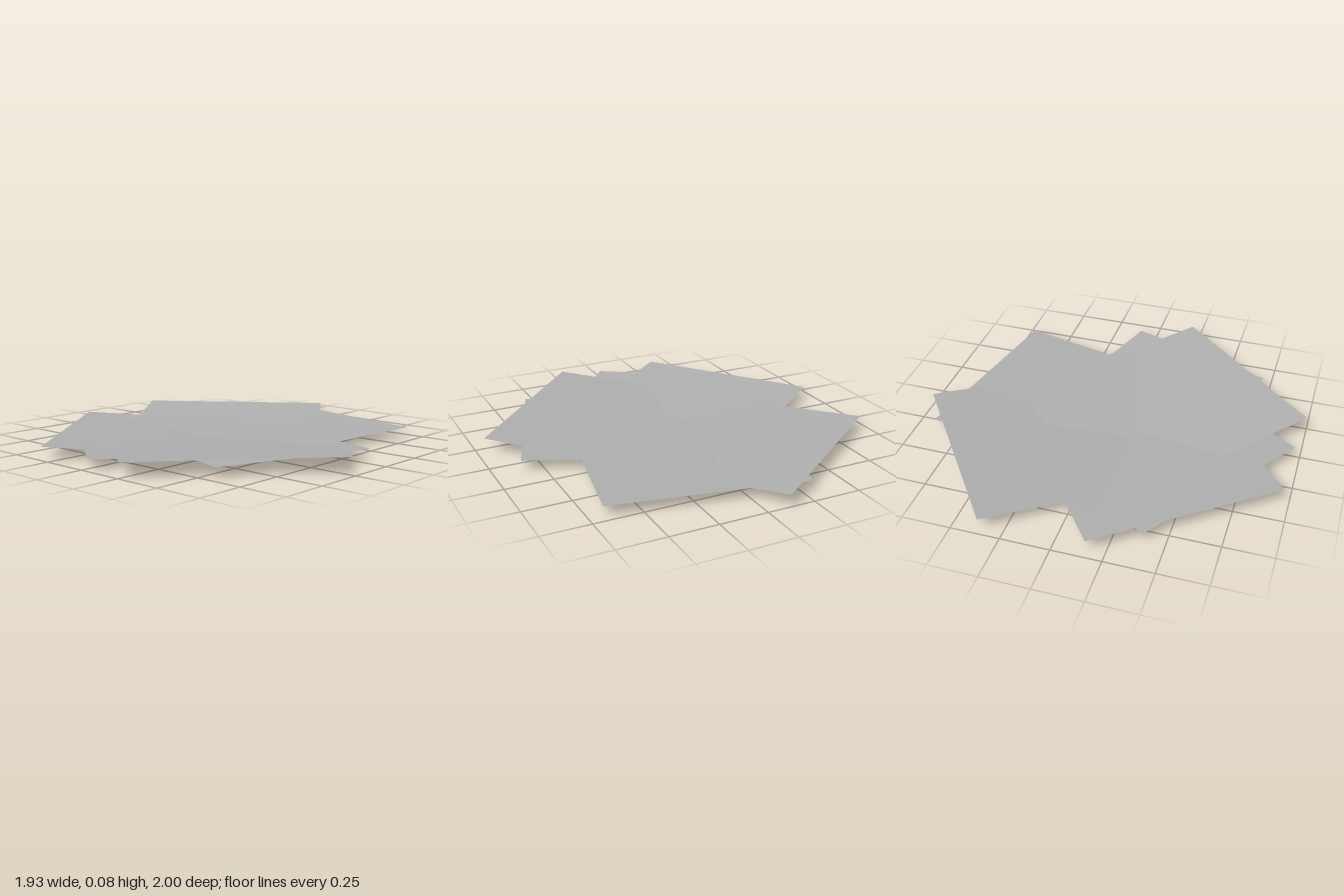
import * as THREE from 'three';

const grey = new THREE.MeshStandardMaterial({ color: 0xb2b2b2, side: THREE.DoubleSide });
grey.name = 'grey';

// Flat sheet: raised outer edge from a to b ([x, z]), sloping down toward the middle of the pile.
function sheet(name, a, b, depth, yOuter, yInner) {
  const A = new THREE.Vector2(...a), B = new THREE.Vector2(...b);
  const inward = B.clone().sub(A).normalize().rotateAround(new THREE.Vector2(), Math.PI / 2);
  if (inward.dot(A.clone().add(B)) > 0) inward.negate();
  inward.multiplyScalar(depth);
  const C = B.clone().add(inward), D = A.clone().add(inward);
  const corners = [[A, yOuter], [B, yOuter], [C, yInner], [D, yInner]];
  const geo = new THREE.BufferGeometry();
  geo.setAttribute('position', new THREE.Float32BufferAttribute(
    corners.flatMap(([p, y]) => [p.x, y, p.y]), 3));
  // wind the face so its front points up
  const e = B.clone().sub(A);
  geo.setIndex(e.x * inward.y - e.y * inward.x > 0 ? [0, 2, 1, 0, 3, 2] : [0, 1, 2, 0, 2, 3]);
  geo.computeVertexNormals();
  const mesh = new THREE.Mesh(geo, grey);
  mesh.name = name;
  return mesh;
}

export function createModel() {
  const pile = new THREE.Group();
  pile.name = 'sheetPile';
  pile.add(
    sheet('backLeftSheet', [-0.12, -1.0], [-0.97, -0.37], 1.06, 0.062, 0.008),
    sheet('backSheet', [-0.31, -0.9], [0.68, -0.705], 1.01, 0.05, 0.014),
    sheet('sideSheet', [0.86, -0.085], [0.575, 0.71], 1.02, 0.052, 0.014),
    sheet('frontSheet', [0.96, 0.21], [0.245, 0.995], 1.06, 0.075, 0.012),
    sheet('innerBackSheet', [0.17, -0.63], [0.85, 0.14], 1.02, 0.052, 0.018),
    sheet('frontLeftSheet', [-0.955, 0.155], [-0.34, 0.97], 1.025, 0.058, 0.014),
    sheet('bottomSheet', [-0.825, 0.39], [0.01, 0.97], 0.96, 0.05, 0),
    sheet('innerLeftSheet', [-0.82, 0.31], [-0.42, -0.61], 1.0, 0.05, 0.012)
  );
  return pile;
}
